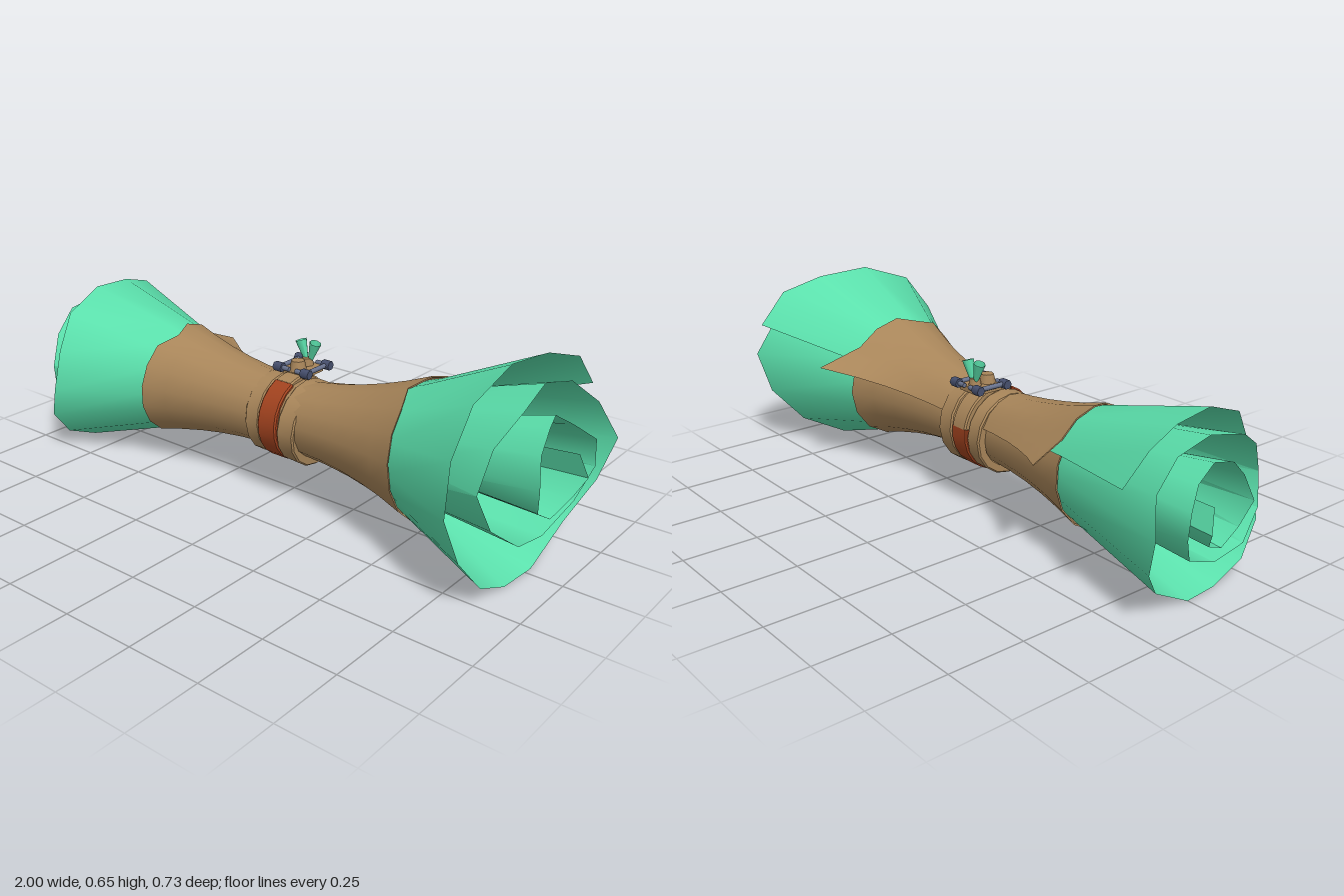
import * as THREE from 'three';
import { toCreasedNormals } from 'three/addons/utils/BufferGeometryUtils.js';

const mat = (name, color, side = THREE.FrontSide) => {
  const m = new THREE.MeshStandardMaterial({ color, side });
  m.name = name;
  return m;
};

// Rim of the rolled inner sheet, outside to centre: [z, y, x]
const RIM = [
  [-.36, .49, .87], [-.27, .6, .86], [-.13, .643, .83], [.05, .655, .81], [.23, .59, .80],
  [.33, .46, .80], [.365, .3, .81], [.345, .175, .85], [.25, .06, .87], [.11, 0, .87],
  [-.03, 0, .88], [-.2, .09, .89], [-.3, .21, .94], [-.33, .35, .98], [-.28, .47, .93],
  [-.17, .56, .89], [-.02, .595, .88], [.13, .565, .9], [.25, .49, .88], [.305, .37, .87],
  [.27, .26, .9], [.16, .175, .93], [.02, .15, .93], [-.13, .21, .95], [-.185, .31, .98],
  [-.175, .4, .98], [-.1, .46, .94], [-.02, .51, .92], [.05, .5, .94], [.11, .44, .95],
  [.14, .35, .97], [.1, .26, .95], [.02, .21, .95], [-.07, .25, .97], [-.1, .31, 1], [-.07, .39, .98],
];
const START = 2.72;

// Flaring bundle: centre line and radius along x, tightening towards the core
const centre = x => [.278 + (x > 0 ? .06 : -.012) * x, .015];
const radius = x => .126 + (x > 0 ? .106 : .088) * (x / .53) ** 2;
const tighten = turn => 1 - .1 * turn - .24 * Math.max(0, turn - 1.7) ** 2;

// Surface through columns of points
function skin(columns) {
  const rows = columns[0].length, pos = [], index = [];
  columns.forEach(c => c.forEach(p => pos.push(...p)));
  for (let i = 0; i < columns.length - 1; i++) {
    for (let j = 0; j < rows - 1; j++) {
      const a = i * rows + j, b = a + rows;
      index.push(a, b, a + 1, b, b + 1, a + 1);
    }
  }
  const g = new THREE.BufferGeometry();
  g.setAttribute('position', new THREE.Float32BufferAttribute(pos, 3));
  g.setIndex(index);
  return toCreasedNormals(g, .75);
}

// Point on the roll at x, angle and radius
const onRoll = (x, a, r) => {
  const [cy, cz] = centre(x);
  return [x, cy + r * Math.sin(a), cz + r * Math.cos(a)];
};

// Thin green sheet that bursts out of one end, lying between the turns of the wrap
function innerSheet(side) {
  let last = START;
  const columns = RIM.map(([z, y, x]) => {
    let a = Math.atan2(y - .32, z);
    while (a > last + .3) a -= Math.PI * 2;
    last = a;
    const turn = Math.max(0, (START - a) / (Math.PI * 2));
    const scale = Math.max(.34, (tighten(turn) + tighten(turn + 1)) / 2);
    const col = [.2, .36, .52].map(d => onRoll(side * d, a, radius(side * d) * scale));
    if (side > 0) return [...col, [x, y, z]];
    const reach = Math.min(1, x + .25 * Math.max(0, y - .45));
    return [...col, [-reach, y * .86, z * .86 + .025]].reverse();
  });
  return skin(columns);
}

// Thick brown sheet rolled around the whole bundle
function outerSheet() {
  const columns = [], perTurn = 16, steps = 51, rows = 12;
  for (let i = 0; i <= steps; i++) {
    const turn = i / perTurn, a = 2.87 - turn * Math.PI * 2;
    const notch = i % 16 === 4 ? .03 : 0;
    const end = [-.505 + .014 * Math.sin(a) + notch, .538 - .02 * Math.sin(a) - notch];
    const outer = [], inner = [];
    for (let j = 0; j <= rows; j++) {
      const x = end[0] + (end[1] - end[0]) * j / rows, flare = Math.abs(x / .52);
      const lift = i ? 0 : x > 0 ? .11 * flare ** 4 : .085 * flare ** 2.5;
      const r = radius(x) * tighten(turn) + lift;
      outer.push(onRoll(x, a, r));
      inner.unshift(onRoll(x, a, r - .005));
    }
    columns.push([...outer, ...inner, outer[0]]);
  }
  return skin(columns);
}

// Band around the waist: width, radii and arc
function band(x0, x1, rIn, rOut, start = 0, length = Math.PI * 2) {
  const b = .005;
  const p = [[rIn, x0], [rOut - b, x0], [rOut, x0 + b], [rOut, x1 - b], [rOut - b, x1], [rIn, x1], [rIn, x0]];
  const g = new THREE.LatheGeometry(p.map(q => new THREE.Vector2(...q)), 16, start, length);
  g.rotateZ(-Math.PI / 2);
  return toCreasedNormals(g, .5);
}

export function createModel() {
  const D = THREE.DoubleSide;
  const green = mat('green sheet', 0x5be0ac, D);
  const brown = mat('tan hide', 0xa9865a, D);
  const red = mat('red strap', 0xa3431f, D);
  const steel = mat('blue grey metal', 0x6b7590);
  const dark = mat('dark blue metal', 0x47506e);
  const model = new THREE.Group();
  const add = (name, geo, material, x = 0, y = 0, z = 0) => {
    const m = new THREE.Mesh(geo, material);
    m.name = name;
    m.position.set(x, y, z);
    model.add(m);
    return m;
  };

  // Rolled sheets
  add('outerWrap', outerSheet(), brown);
  add('leftInnerSheet', innerSheet(1), green);
  add('rightInnerSheet', innerSheet(-1), green);

  // Waist collars and strap
  const cy = .273, cz = .008;
  add('rightCollar', band(-.092, -.034, .11, .138), brown, 0, cy, cz).rotation.z = .04;
  add('leftCollar', band(.045, .112, .11, .142), brown, 0, cy, cz).rotation.z = -.06;
  const s = -1.2, len = 4.5;
  add('redStrap', band(-.034, .041, .115, .143, s, len), red, 0, cy, cz);
  add('upperStrap', band(-.03, .037, .115, .144, s + len, Math.PI * 2 - len), brown, 0, cy, cz);

  // Buckle on top: plate, side rods and corner knobs
  add('bucklePlate', new THREE.BoxGeometry(.09, .02, .1), brown, 0, .418, -.045);
  for (const sx of [-1, 1]) {
    const rod = new THREE.CylinderGeometry(.009, .009, .12, 6).rotateX(Math.PI / 2);
    add('sideRod', rod, steel, sx * .055, .43, -.045);
    for (const z of [-.1, .01]) {
      add('knob', new THREE.CylinderGeometry(.016, .016, .032, 6).rotateZ(Math.PI / 2), dark, sx * .056, .43, z);
      add('rodStub', new THREE.CylinderGeometry(.008, .008, .03, 6).rotateZ(Math.PI / 2), steel, sx * .028, .43, z);
    }
  }

  // Knot and tufts
  add('knot', new THREE.CylinderGeometry(.022, .03, .035, 8), brown, 0, .44, -.018);
  add('tuftTie', new THREE.CylinderGeometry(.017, .022, .03, 8), brown, 0, .437, -.068);
  for (const sx of [-1, 1]) {
    const tuft = new THREE.CylinderGeometry(.02, .006, .075, 7, 1, true);
    add('tuft', tuft, green, sx * .018, .472, -.072).rotation.z = -sx * .32;
  }
  return model;
}
